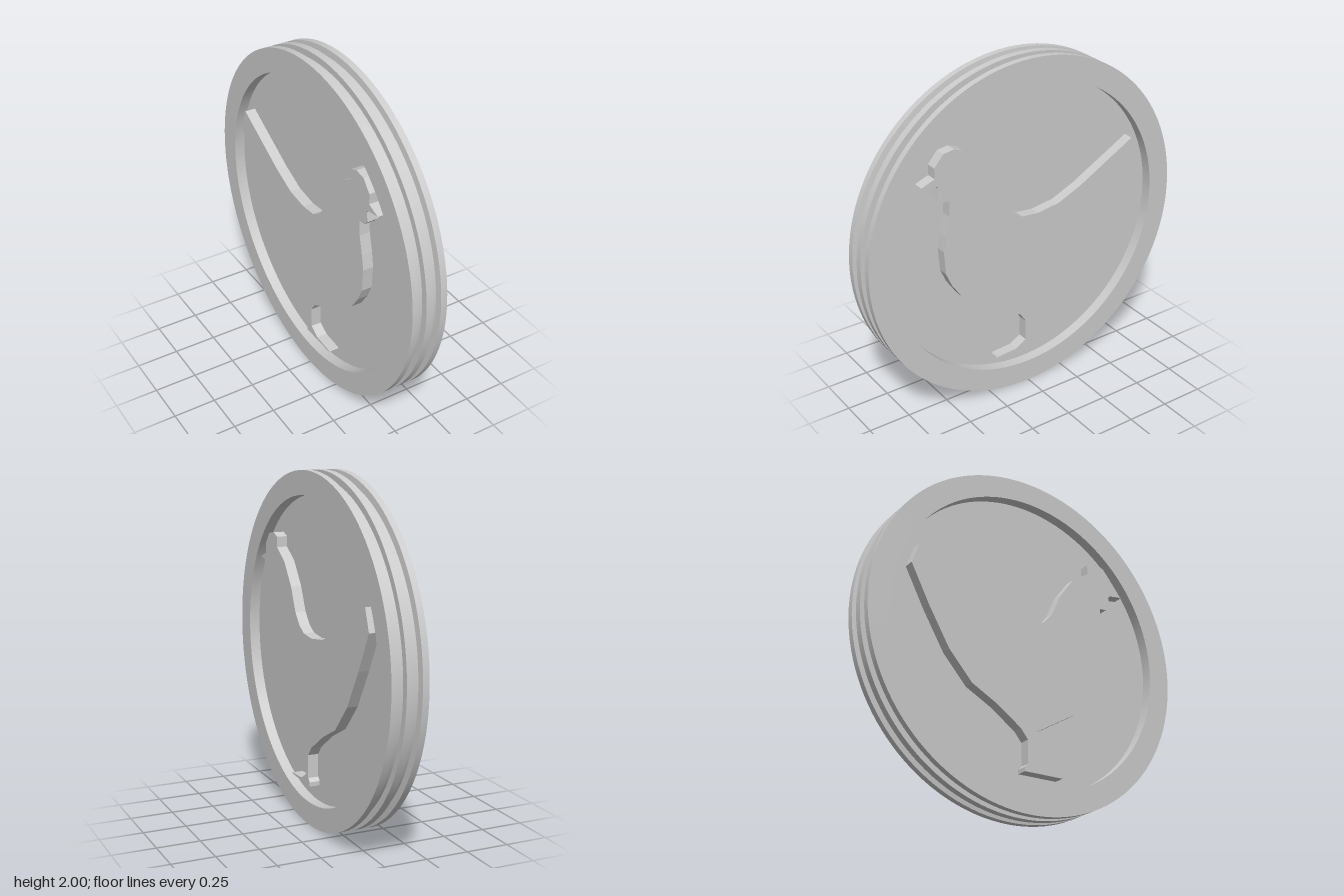
import * as THREE from 'three';
import { toCreasedNormals } from 'three/addons/utils/BufferGeometryUtils.js';

const HALF = 0.105;   // half thickness of the disc
const FLOOR = 0.043;  // half thickness of the recessed web

// Hen outline as [z, y], from the beak over the back to the tail, foot and breast
const HEN = [
  [0.67, 1.45], [0.59, 1.48], [0.59, 1.54], [0.535, 1.605], [0.47, 1.615], [0.42, 1.595], [0.42, 1.535],
  [0.315, 1.465], [0.22, 1.335], [0.16, 1.2], [0.105, 1.135], [0.045, 1.1], [-0.06, 1.09], [-0.2, 1.11],
  [-0.35, 1.175], [-0.71, 1.375], [-0.755, 1.25], [-0.64, 1.03], [-0.51, 0.81], [-0.365, 0.65],
  [-0.21, 0.57], [-0.055, 0.465], [-0.01, 0.41], [-0.01, 0.275], [-0.03, 0.255], [-0.03, 0.23],
  [0.215, 0.235], [0.21, 0.243], [0.085, 0.25], [0.02, 0.29], [0.02, 0.415], [0.055, 0.47], [0.31, 0.625],
  [0.445, 0.73], [0.505, 0.82], [0.54, 0.9], [0.55, 1.04], [0.535, 1.13], [0.51, 1.24], [0.505, 1.33],
  [0.55, 1.335], [0.58, 1.365], [0.57, 1.42], [0.58, 1.435],
];

export function createModel() {
  const group = new THREE.Group();
  const material = new THREE.MeshStandardMaterial({ color: 0xcccccc });

  // Disc: half profile [radius, x] from the web outwards, mirrored to the other face
  const half = [
    [0, -FLOOR], [0.865, -FLOOR], [0.865, -HALF], [1, -HALF],
    [1, -0.068], [0.962, -0.063], [0.962, -0.021], [1, -0.021],
  ];
  const profile = [...half, ...half.map(([r, x]) => [r, -x]).reverse()]
    .map(([r, x]) => new THREE.Vector2(r, x));
  const discGeometry = toCreasedNormals(new THREE.LatheGeometry(profile, 128), 0.4);
  discGeometry.rotateZ(-Math.PI / 2).translate(0, 1, 0);
  const disc = new THREE.Mesh(discGeometry, material);
  disc.name = 'groovedDisc';
  group.add(disc);

  // Hen relief, running through the web and flush with the rim on both faces
  const shape = new THREE.Shape(HEN.map(([z, y]) => new THREE.Vector2(-z, y)));
  const henGeometry = new THREE.ExtrudeGeometry(shape, { depth: 2 * HALF, bevelEnabled: false });
  henGeometry.translate(0, 0, -HALF).rotateY(Math.PI / 2);
  const hen = new THREE.Mesh(henGeometry, material);
  hen.name = 'henRelief';
  group.add(hen);

  return group;
}
